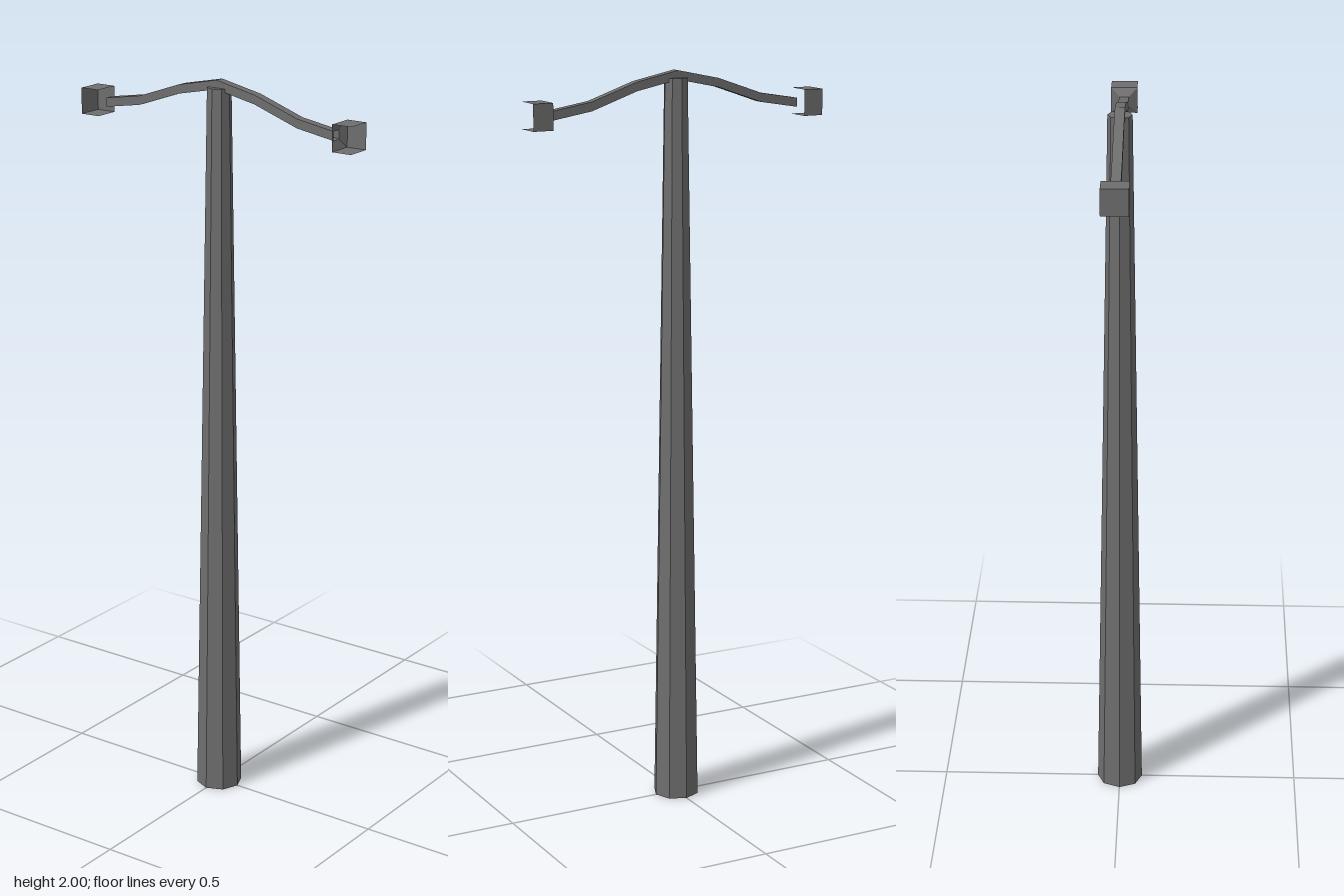
import * as THREE from 'three';

const metal = new THREE.MeshStandardMaterial({ color: 0x6e6e6e, side: THREE.DoubleSide, flatShading: true });
metal.name = 'dark grey metal';

function add(parent, name, geometry, x = 0, y = 0, z = 0) {
  const mesh = new THREE.Mesh(geometry, metal);
  mesh.name = name;
  mesh.position.set(x, y, z);
  parent.add(mesh);
  return mesh;
}

// Square tube along x: one rectangular ring per [x, y, halfHeight, halfDepth] station
function squareTube(stations) {
  const corners = [[1, 1], [1, -1], [-1, -1], [-1, 1]];
  const pos = [], index = [];
  stations.forEach(([x, y, h, d], i) => {
    corners.forEach(([cy, cz], k) => {
      pos.push(x, y + cy * h, cz * d);
      if (i === 0) return;
      const n = (k + 1) % 4, a = (i - 1) * 4, b = i * 4;
      index.push(a + k, a + n, b + n, a + k, b + n, b + k);
    });
  });
  const g = new THREE.BufferGeometry();
  g.setAttribute('position', new THREE.Float32BufferAttribute(pos, 3));
  g.setIndex(index);
  const flat = g.toNonIndexed();
  flat.computeVertexNormals();
  return flat;
}

const W = 0.056, H = 0.07, D = 0.07, LAMP_X = 0.398, LAMP_Y = 1.9;

// Lamp housing, open towards +x and +z
function lampHousing(name, x) {
  const lamp = new THREE.Group();
  lamp.name = name;
  lamp.position.set(x, LAMP_Y, 0);
  for (const s of [1, -1]) {
    add(lamp, s > 0 ? 'lampTop' : 'lampBottom',
      new THREE.PlaneGeometry(W, D).rotateX(-s * Math.PI / 2), 0, s * H / 2, 0);
  }
  add(lamp, 'lampBack', new THREE.PlaneGeometry(W, H).rotateY(Math.PI), 0, 0, -D / 2);
  return lamp;
}

export function createModel() {
  const model = new THREE.Group();
  model.name = 'streetLamp';

  // Tapered eight-sided pole
  add(model, 'pole', new THREE.CylinderGeometry(0.032, 0.063, 1.98, 8), 0, 0.99, 0);

  // Curved cross arm
  const half = [[0.12, 1.963], [0.25, 1.918], [0.36, 1.9]];
  const path = [...half.map(([x, y]) => [-x, y]).reverse(), [0, 1.988], ...half];
  add(model, 'crossArm', squareTube(path.map(([x, y]) => [x, y, 0.012, 0.0128])));

  // Left lamp, joined to the arm by a flared collar
  const left = lampHousing('leftLamp', LAMP_X);
  add(left, 'lampCollar', squareTube([
    [0.36 - LAMP_X, 0, 0.012, 0.0128], [-W / 2, 0, H / 2, D / 2]]));
  model.add(left);

  // Right lamp, closed by a flat outer end
  const right = lampHousing('rightLamp', -LAMP_X);
  add(right, 'lampEnd', new THREE.PlaneGeometry(D, H).rotateY(-Math.PI / 2), -W / 2, 0, 0);
  model.add(right);

  return model;
}
